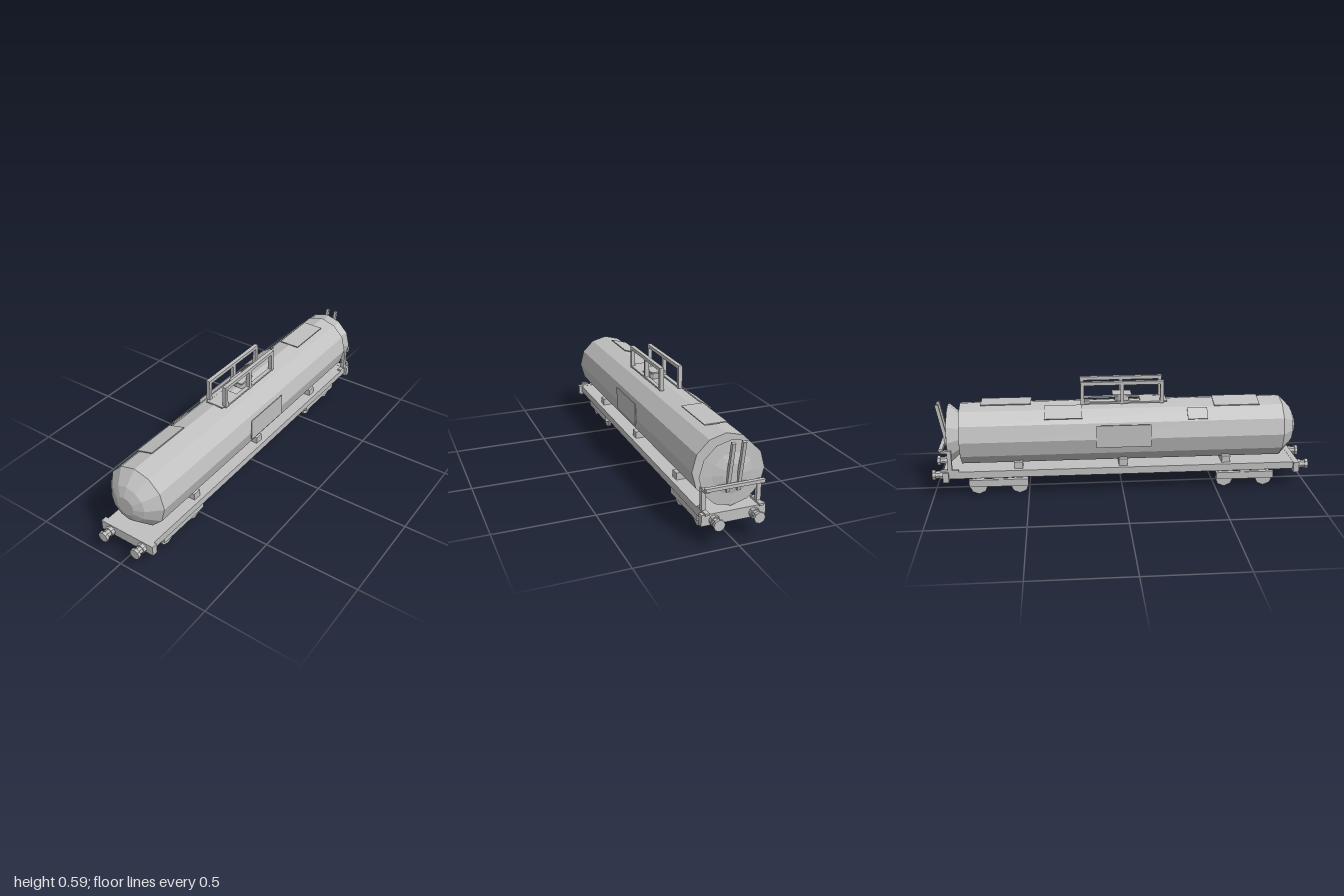
import * as THREE from 'three';

const grey = new THREE.MeshStandardMaterial({ color: 0xc0c0c0, flatShading: true });
grey.name = 'plain grey';

export function createModel() {
  const model = new THREE.Group();
  model.name = 'tankWagon';

  const add = (name, geometry, x = 0, y = 0, z = 0, parent = model) => {
    const mesh = new THREE.Mesh(geometry, grey);
    mesh.name = name;
    mesh.position.set(x, y, z);
    parent.add(mesh);
    return mesh;
  };
  const box = (name, w, h, d, x, y, z, parent) =>
    add(name, new THREE.BoxGeometry(w, h, d), x, y, z, parent);

  // Twelve-sided tank: stepped rear dish with a flared rim, domed front
  const profile = [
    [0, -0.925], [0.05, -0.925], [0.1, -0.912], [0.16, -0.908], [0.105, -0.845],
    [0.164, -0.845], [0.164, 0.845], [0.1, 0.908], [0.05, 0.93], [0, 0.93],
  ].map(([r, z]) => new THREE.Vector2(r, z));
  add('tank', new THREE.LatheGeometry(profile, 12).rotateX(Math.PI / 2), 0, 0.314, 0);

  // Underframe and saddles
  box('deck', 0.286, 0.038, 1.84, 0, 0.129, 0);
  for (const z of [-0.55, 0, 0.55]) box('saddle', 0.24, 0.037, 0.045, 0, 0.166, z);

  // End beams and bumpers
  for (const end of [-1, 1]) {
    box('endBeam', 0.316, 0.054, 0.03, 0, 0.122, end * 0.925);
    for (const x of [-0.098, 0.098]) {
      const disc = (name, r, length, z) =>
        add(name, new THREE.CylinderGeometry(r, r, length, 8, 1).rotateX(Math.PI / 2), x, 0.118, end * z);
      disc('bumperCollar', 0.025, 0.025, 0.947);
      disc('bumperStem', 0.02, 0.055, 0.965);
      disc('bumperHead', 0.028, 0.016, 0.992);
    }
  }

  // Bogies: side frames, cross bolster, eight-sided wheels
  for (const bogieZ of [-0.657, 0.657]) {
    const bogie = new THREE.Group();
    bogie.name = 'bogie';
    bogie.position.z = bogieZ;
    model.add(bogie);
    box('bolster', 0.236, 0.03, 0.055, 0, 0.096, 0, bogie);
    for (const side of [-1, 1]) {
      box('sideFrame', 0.022, 0.038, 0.31, side * 0.109, 0.069, 0, bogie);
      for (const z of [-0.108, 0.108]) {
        const wheel = new THREE.CylinderGeometry(0.048, 0.048, 0.013, 8).rotateZ(Math.PI / 2);
        add('wheel', wheel, side * 0.0915, 0.048, z, bogie);
      }
    }
  }

  // Roof railings
  for (const x of [-0.05, 0.05]) {
    box('railTop', 0.021, 0.018, 0.435, x, 0.583, 0);
    for (const z of [-0.208, 0, 0.208]) box('railPost', 0.021, 0.112, 0.019, x, 0.528, z);
    box('railFoot', 0.021, 0.008, 0.435, x, 0.478, 0);
  }
  box('roofPlate', 0.1, 0.007, 0.14, 0, 0.478, 0.165);

  // Filling hatch
  add('hatchNeck', new THREE.CylinderGeometry(0.038, 0.038, 0.036, 12), 0, 0.49, 0);
  box('hatchLid', 0.078, 0.008, 0.1, 0, 0.512, 0);

  // Thin panels lying on the tank: x, y, z, width, length, tilt
  [
    [0, 0.481, -0.605, 0.112, 0.26, 0],
    [-0.046, 0.473, 0.6, 0.094, 0.24, 0.28],
    [-0.098, 0.447, -0.31, 0.088, 0.195, 0.6],
    [-0.118, 0.43, 0.388, 0.068, 0.105, 0.78],
  ].forEach(([x, y, z, w, d, tilt]) => {
    box('roofPanel', w, 0.005, d, x, y, z).rotation.z = tilt;
  });
  for (const x of [-0.166, 0.166]) box('sidePanel', 0.005, 0.12, 0.285, x, 0.331, 0);

  // Rear handrail and leaning bars
  box('handrail', 0.288, 0.016, 0.02, 0, 0.27, -0.943);
  for (const side of [-1, 1]) {
    box('handrailPost', 0.021, 0.11, 0.022, side * 0.136, 0.21, -0.902);
    box('handrailArm', 0.021, 0.012, 0.05, side * 0.136, 0.26, -0.92);
    box('postFoot', 0.021, 0.01, 0.09, side * 0.133, 0.153, -0.905);
    box('leaningBar', 0.016, 0.25, 0.018, side * 0.026, 0.357, -0.94).rotation.x = -0.18;
  }
  return model;
}
